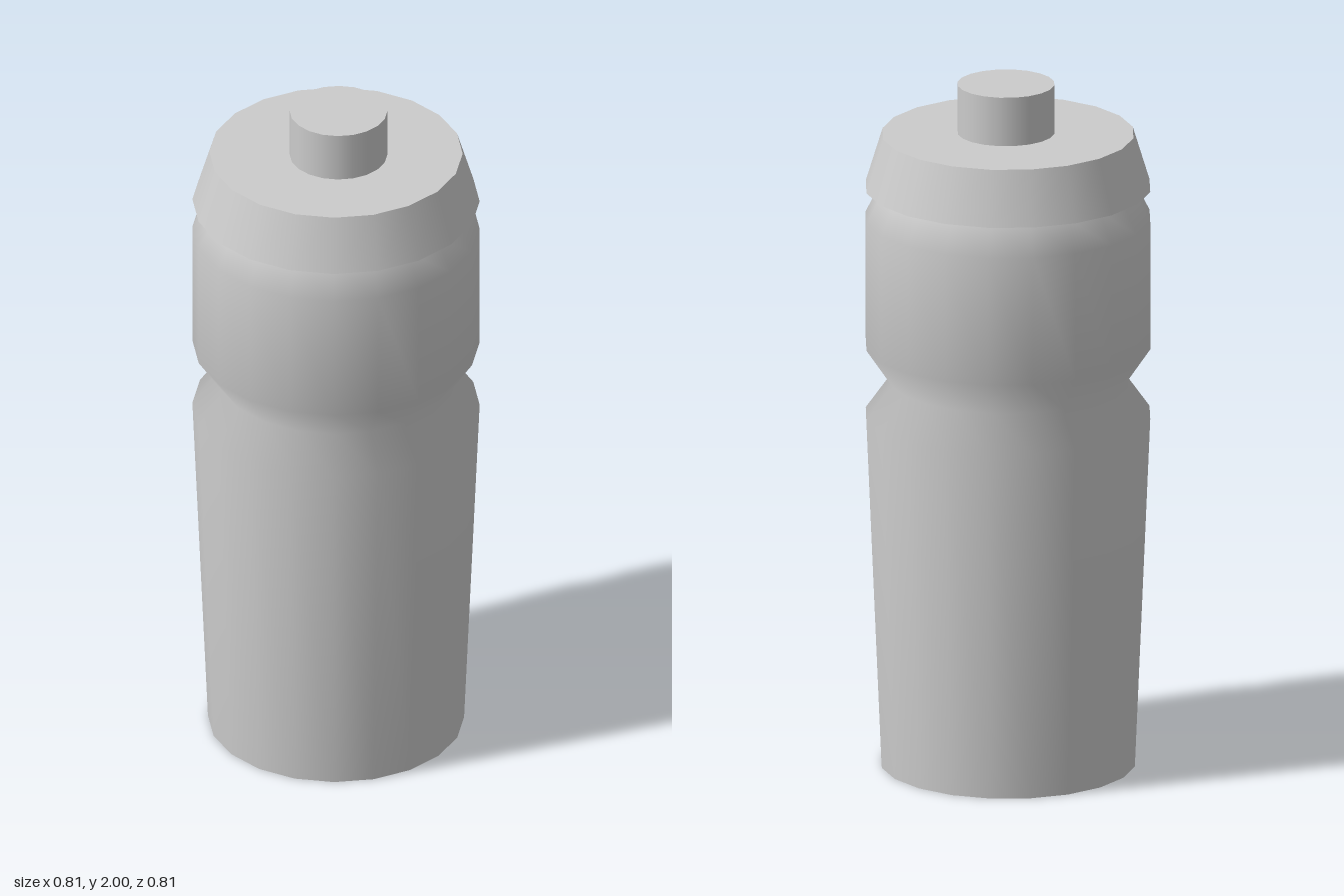
import * as THREE from 'three';

const SIDES = 20;

export function createModel() {
  const group = new THREE.Group();
  const material = new THREE.MeshStandardMaterial({ color: 0xcccccc });

  const add = (name, geometry, y = 0, z = 0) => {
    const mesh = new THREE.Mesh(geometry, material);
    mesh.name = name;
    mesh.position.set(0, y, z);
    group.add(mesh);
  };

  // Closed cylinder standing between two heights
  const addCylinder = (name, topRadius, bottomRadius, y0, y1, z = 0) =>
    add(name, new THREE.CylinderGeometry(topRadius, bottomRadius, y1 - y0, SIDES), (y0 + y1) / 2, z);

  // Tapered body with a pinched grip and a shoulder below the lid
  const profile = [
    [0.362, 0], [0.406, 1.03], [0.335, 1.13], [0.406, 1.235], [0.406, 1.61], [0.36, 1.7],
  ].map(([r, y]) => new THREE.Vector2(r, y));
  add('body', new THREE.LatheGeometry(profile, SIDES));

  // Flat base
  add('base', new THREE.CircleGeometry(0.362, SIDES).rotateX(Math.PI / 2));

  // Sloped lid overhanging the shoulder
  addCylinder('lid', 0.358, 0.406, 1.7, 1.857);

  // Drinking spout, set slightly forward
  addCylinder('spout', 0.138, 0.138, 1.857, 2, 0.012);

  return group;
}
